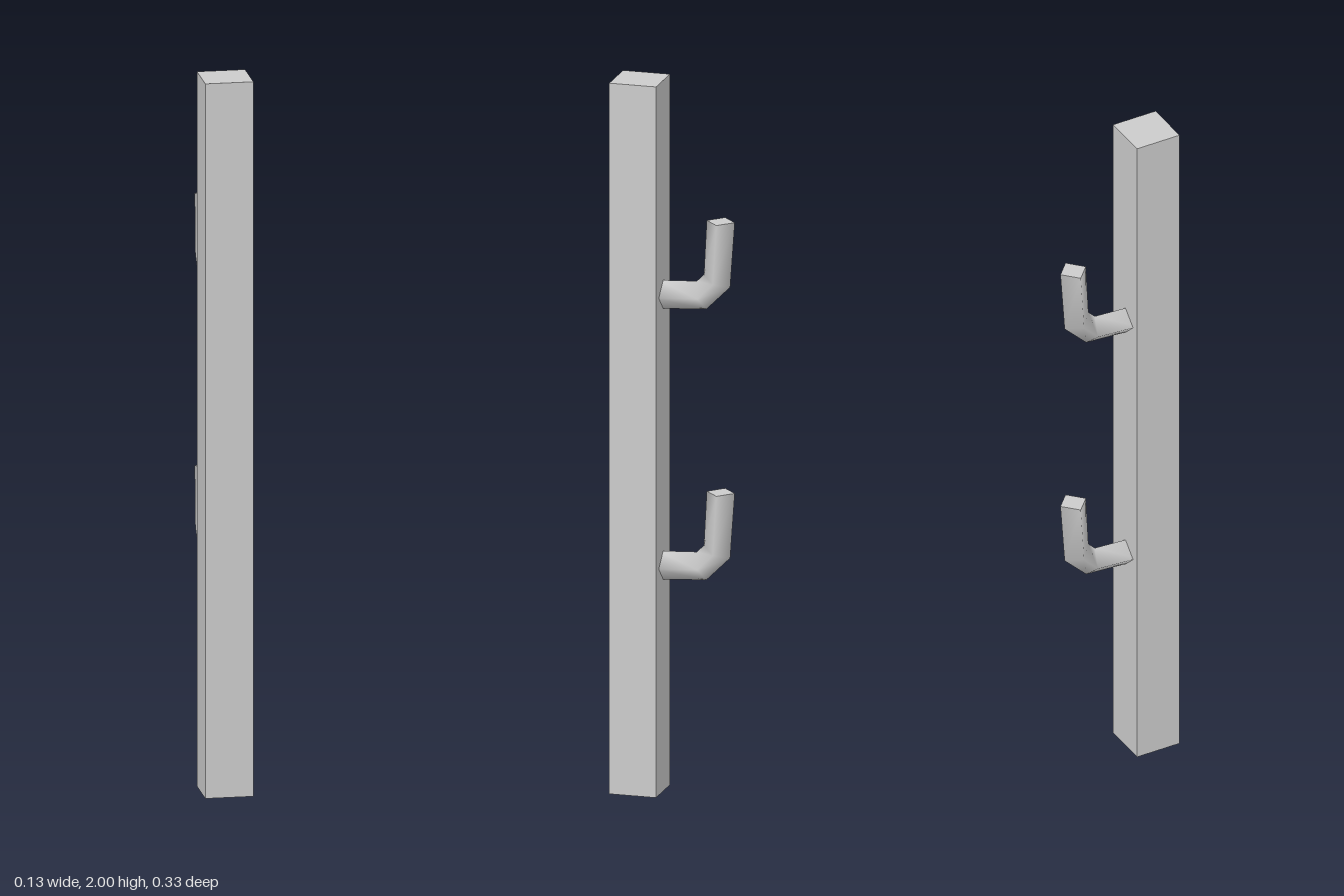
import * as THREE from 'three';

const material = new THREE.MeshStandardMaterial({ color: 0xcccccc });

// Bent bar of diamond section: each ring is [inner z, inner y, outer z, outer y]
function hookGeometry() {
  const rings = [
    [0.05, 1.437, 0.05, 1.357],
    [-0.06, 1.443, -0.087, 1.366],
    [-0.08, 1.463, -0.154, 1.433],
    [-0.088, 1.616, -0.167, 1.616],
  ];
  const half = 0.042, centre = -0.002;
  const pos = [], idx = [];
  const addRing = ([zi, yi, zo, yo]) => {
    const y = (yi + yo) / 2, z = (zi + zo) / 2;
    pos.push(centre, yi, zi, centre + half, y, z, centre, yo, zo, centre - half, y, z);
  };
  rings.forEach(addRing);
  for (let i = 0; i < rings.length - 1; i++) {
    for (let j = 0; j < 4; j++) {
      const a = i * 4 + j, b = i * 4 + (j + 1) % 4;
      idx.push(a, b, b + 4, a, b + 4, a + 4);
    }
  }
  // flat end caps on their own vertices
  const n = rings.length * 4;
  addRing(rings[0]);
  addRing(rings[rings.length - 1]);
  idx.push(n, n + 2, n + 1, n, n + 3, n + 2);
  idx.push(n + 4, n + 5, n + 6, n + 4, n + 6, n + 7);
  const g = new THREE.BufferGeometry();
  g.setAttribute('position', new THREE.Float32BufferAttribute(pos, 3));
  g.setIndex(idx);
  g.computeVertexNormals();
  return g;
}

export function createModel() {
  const model = new THREE.Group();
  model.name = 'postWithHooks';

  // square post
  const post = new THREE.Mesh(new THREE.BoxGeometry(0.132, 2, 0.132), material);
  post.name = 'post';
  post.position.set(0, 1, 0.101);
  model.add(post);

  // two hooks on the back face
  const geometry = hookGeometry();
  [['upperHook', 0], ['lowerHook', -0.762]].forEach(([name, y]) => {
    const hook = new THREE.Mesh(geometry, material);
    hook.name = name;
    hook.position.y = y;
    model.add(hook);
  });
  return model;
}
